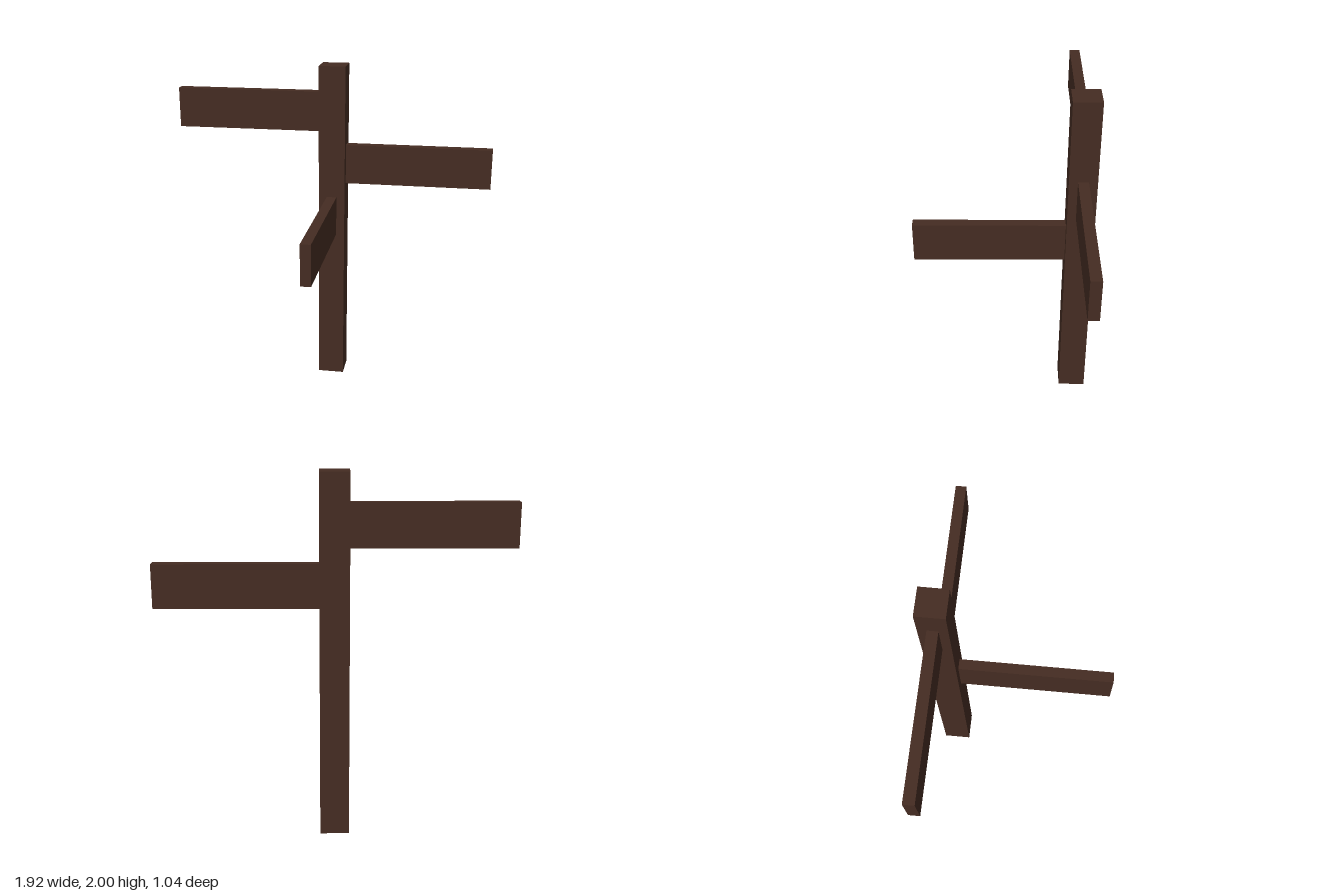
import * as THREE from 'three';

export function createModel() {
  const model = new THREE.Group();
  const darkWood = new THREE.MeshStandardMaterial({ color: 0x452c22 });
  darkWood.name = 'darkWood';

  const POST = 0.16;     // post width
  const POST_Z = -0.44;  // post centre
  const LENGTH = 0.88;   // board length beyond the post face

  // Square upright post
  const post = new THREE.Mesh(new THREE.BoxGeometry(POST, 2, POST), darkWood);
  post.name = 'post';
  post.position.set(0, 1, POST_Z);
  model.add(post);

  // Sign boards, each pointing outward from one post face
  const boardGeometry = new THREE.BoxGeometry(LENGTH, 0.24, 0.06);
  const boards = [
    ['rightBoard', 1.72, Math.PI],
    ['leftBoard', 1.4, 0],
    ['frontBoard', 1.08, -Math.PI / 2],
  ];
  for (const [name, y, turn] of boards) {
    const reach = (POST + LENGTH) / 2;
    const board = new THREE.Mesh(boardGeometry, darkWood);
    board.name = name;
    board.rotation.y = turn;
    board.position.set(Math.cos(turn) * reach, y, POST_Z - Math.sin(turn) * reach);
    model.add(board);
  }

  return model;
}
